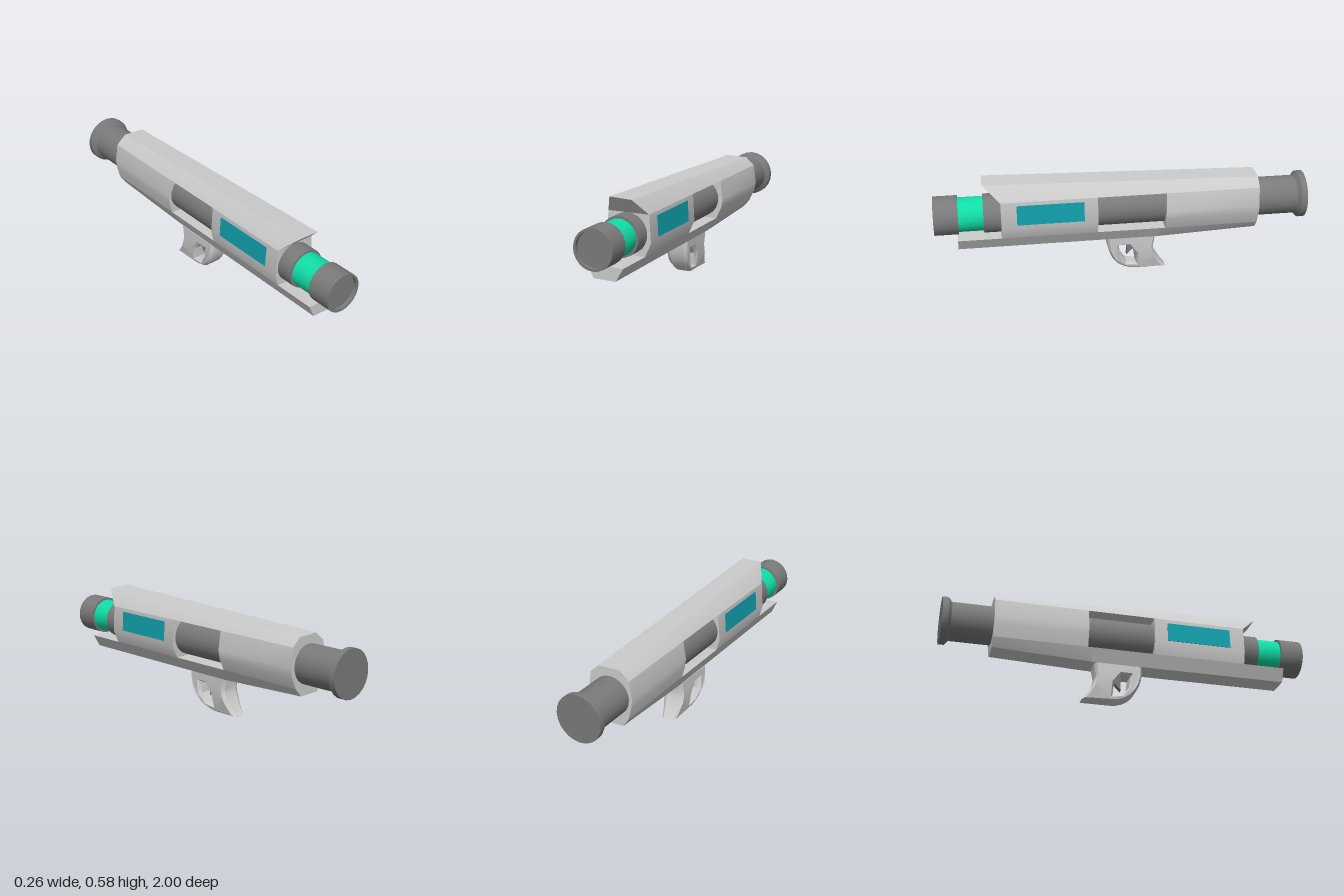
import * as THREE from 'three';
import { toCreasedNormals } from 'three/addons/utils/BufferGeometryUtils.js';
import { ConvexGeometry } from 'three/addons/geometries/ConvexGeometry.js';

const mat = (color) => new THREE.MeshStandardMaterial({ color });
const GREY = mat(0xcccccc), DARK = mat(0x7a7a7a), GREEN = mat(0x10dda6), TEAL = mat(0x11a0ac);

export function createModel() {
  const model = new THREE.Group();
  const add = (name, geometry, material, parent = model) => {
    const mesh = new THREE.Mesh(geometry, material);
    mesh.name = name;
    parent.add(mesh);
    return mesh;
  };

  // Housing: convex blocks, each spanned between two cross-sections
  const housing = new THREE.Group();
  housing.name = 'housing';
  model.add(housing);
  const block = (name, ...sections) => {
    const pts = sections.flatMap(([z, ring]) => ring.map(([x, y]) => new THREE.Vector3(x, y, z)));
    add(name, toCreasedNormals(new ConvexGeometry(pts), 0.6), GREY, housing);
  };
  const shoulder = [[0.111, 0.488], [-0.112, 0.49]];
  const waist = [[0.087, 0.274], [-0.104, 0.28]];
  const keel = (y) => [[0.047, y], [-0.072, y + 0.003]];
  const frontSides = [[0.119, 0.345], [-0.122, 0.345]];
  const rearSides = [[0.126, 0.385], [0.117, 0.338], [-0.127, 0.39], [-0.121, 0.345]];

  block('topCover',
    [-0.73, [...shoulder, [0.063, 0.532], [-0.056, 0.537]]],
    [0.65, shoulder],
    [0.74, [[0.063, 0.575], [-0.056, 0.581]]]);
  block('frontSideWalls',
    [0.14, [...shoulder, ...frontSides, ...waist]],
    [0.65, [...shoulder, ...frontSides, ...waist]]);
  block('rearSideWalls',
    [-0.73, [...shoulder, ...rearSides, ...waist]],
    [-0.225, [...shoulder, ...rearSides, ...waist]]);
  block('lowerRear', [-0.73, [...waist, ...keel(0.229)]], [-0.2, [...waist, ...keel(0.207)]]);
  block('lowerFront', [-0.2, [...waist, ...keel(0.207)]], [0.88, [...waist, ...keel(0.207)]]);

  // Barrel: turned sections along z
  const turned = (name, profile, material) => {
    const g = new THREE.LatheGeometry(profile.map(([r, z]) => new THREE.Vector2(r, z)), 24);
    g.rotateX(Math.PI / 2);
    add(name, toCreasedNormals(g, 0.5), material).position.set(-0.005, 0.386, 0);
  };
  turned('barrel', [[0, -1], [0.127, -1], [0.127, -0.968], [0.104, -0.95], [0.104, 0.74], [0.08, 0.74]], DARK);
  turned('glowBand', [[0.092, 0.735], [0.092, 0.88]], GREEN);
  turned('muzzle', [[0.08, 0.872], [0.104, 0.872], [0.104, 1], [0.092, 1], [0.092, 0.98], [0, 0.98]], DARK);

  // Side panels lying on the sloped walls
  for (const [name, x, tilt] of [['leftPanel', 0.1138, 0.056], ['rightPanel', -0.117, -0.069]]) {
    const panel = add(name, new THREE.BoxGeometry(0.006, 0.108, 0.355), TEAL);
    panel.position.set(x, 0.414, 0.39);
    panel.rotation.z = tilt;
  }

  // Grip with finger guard: side outline (z, y), narrowing towards its foot
  const grip = new THREE.Shape();
  grip.moveTo(0.082, 0.22);
  grip.lineTo(0.08, 0.16);
  grip.bezierCurveTo(0.07, 0.08, 0.02, 0.003, -0.08, 0.001);
  grip.lineTo(-0.243, 0.001);
  grip.bezierCurveTo(-0.2, 0.05, -0.175, 0.1, -0.17, 0.14);
  grip.lineTo(-0.183, 0.22);
  grip.holes.push(new THREE.Path([[0.018, 0.155], [-0.034, 0.155], [-0.073, 0.105], [-0.078, 0.038],
    [-0.025, 0.045], [0.01, 0.09]].map((p) => new THREE.Vector2(...p))));
  const gripGeometry = new THREE.ExtrudeGeometry(grip, {
    depth: 0.08, curveSegments: 8, bevelSegments: 1, bevelThickness: 0.02, bevelSize: 0.012, bevelOffset: -0.012,
  });
  gripGeometry.translate(0, 0, -0.04).rotateY(-Math.PI / 2);
  const p = gripGeometry.attributes.position;
  for (let i = 0; i < p.count; i++) {
    const t = Math.min(p.getY(i) / 0.09, 1);
    p.setX(i, p.getX(i) * (0.64 + 0.36 * t) - 0.02 + 0.03 * p.getY(i));
  }
  add('grip', toCreasedNormals(gripGeometry, 0.5), GREY);

  // Trigger
  const blade = new THREE.Shape([[-0.025, 0.16], [-0.03, 0.12], [-0.028, 0.08], [-0.06, 0.115], [-0.06, 0.16]]
    .map((q) => new THREE.Vector2(...q)));
  const triggerGeometry = new THREE.ExtrudeGeometry(blade, { depth: 0.03, bevelEnabled: false });
  triggerGeometry.translate(0, 0, -0.015).rotateY(-Math.PI / 2);
  add('trigger', triggerGeometry, DARK).position.x = -0.016;

  return model;
}
